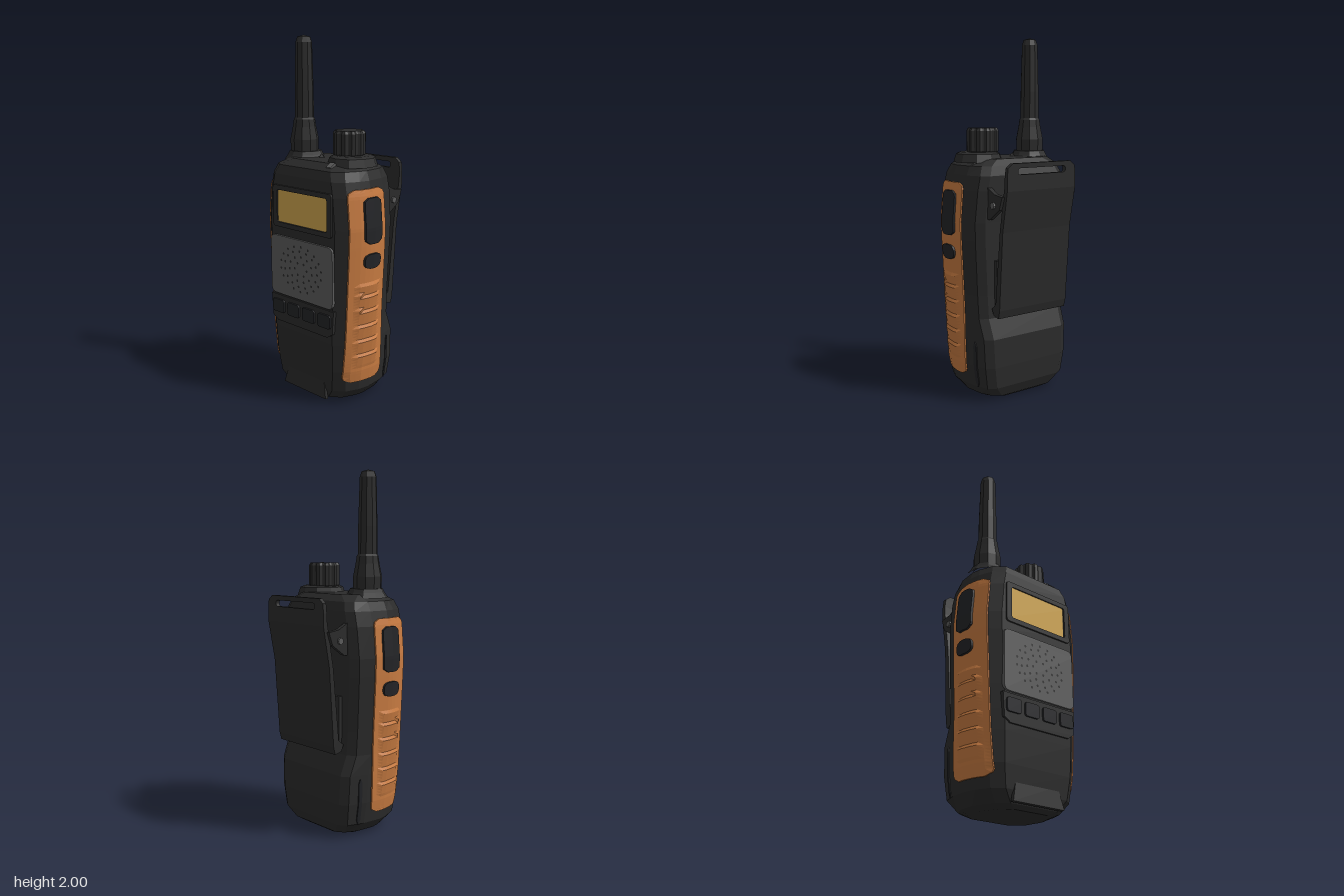
import * as THREE from 'three';

const mat = (name, color) => {
  const m = new THREE.MeshStandardMaterial({ color });
  m.name = name;
  return m;
};

// Body sections: height, half width, front z, back z
const SECTIONS = [
  [0, 0.21, 0.2, -0.12], [0.02, 0.255, 0.225, -0.15], [0.08, 0.305, 0.248, -0.178],
  [0.2, 0.322, 0.26, -0.185], [0.36, 0.328, 0.268, -0.18], [0.47, 0.331, 0.271, -0.137],
  [0.6, 0.336, 0.272, -0.133], [0.9, 0.35, 0.272, -0.135], [1.0, 0.352, 0.272, -0.137],
  [1.17, 0.337, 0.272, -0.142], [1.25, 0.32, 0.268, -0.142], [1.3, 0.3, 0.25, -0.125],
  [1.335, 0.24, 0.2, -0.09],
];

// Right half of one section, from front to back, as [x, z]
function halfOutline([, w, zf, zb]) {
  const m = zf * 0.55 + zb * 0.45;
  return [[w - 0.1, zf], [w - 0.04, zf - 0.045], [w - 0.01, zf - 0.12], [w, m],
    [w - 0.013, m - 0.11], [w - 0.045, zb + 0.03], [w - 0.09, zb]];
}

// Body half width at a given height and depth
function sideX(y, z) {
  let k = 0;
  while (k < SECTIONS.length - 2 && SECTIONS[k + 1][0] < y) k++;
  const a = SECTIONS[k], b = SECTIONS[k + 1];
  const t = (y - a[0]) / (b[0] - a[0]);
  const pts = halfOutline(a.map((v, i) => v + (b[i] - v) * t));
  let i = 0;
  while (i < pts.length - 2 && pts[i + 1][1] > z) i++;
  const [p, q] = [pts[i], pts[i + 1]];
  return p[0] + (q[0] - p[0]) * (p[1] - z) / (p[1] - q[1]);
}

// Faceted copy of a geometry
function flat(geo) {
  const g = geo.index ? geo.toNonIndexed() : geo;
  g.computeVertexNormals();
  return g;
}

// Skin over rows of points; closed rows get end caps
function skin(rows, closed, flip = false) {
  const n = rows[0].length, pos = rows.flat(2), idx = [];
  const tri = (a, b, c) => (flip ? idx.push(a, c, b) : idx.push(a, b, c));
  for (let j = 0; j < rows.length - 1; j++) {
    for (let i = 0; i < (closed ? n : n - 1); i++) {
      const a = j * n + i, b = j * n + (i + 1) % n;
      tri(a, b, b + n);
      tri(a, b + n, a + n);
    }
  }
  if (closed) {
    const last = (rows.length - 1) * n;
    for (let i = 1; i < n - 1; i++) {
      tri(0, i + 1, i);
      tri(last, last + i, last + i + 1);
    }
  }
  const g = new THREE.BufferGeometry();
  g.setAttribute('position', new THREE.Float32BufferAttribute(pos, 3));
  g.setIndex(idx);
  return flat(g);
}

// Raised rounded pad that follows the side of the body
function sidePad(s, y0, y1, z0, z1, r, off, rowsN, bump = () => 0) {
  const rows = [], cols = 8, mid = (z0 + z1) / 2;
  for (let j = -1; j <= rowsN + 1; j++) {
    const y = y0 + (y1 - y0) * THREE.MathUtils.clamp(j / rowsN, 0, 1);
    const d = Math.max(0, r - Math.min(y - y0, y1 - y));
    const hw = (z1 - z0) / 2 - r + Math.sqrt(Math.max(0, r * r - d * d));
    const row = [];
    for (let i = -1; i <= cols + 1; i++) {
      const u = THREE.MathUtils.clamp(i / cols, 0, 1);
      const z = mid + hw * (1 - 2 * u);
      const rim = i < 0 || i > cols || j < 0 || j > rowsN;
      row.push([s * (sideX(y, z) + (rim ? -0.015 : off + bump(y, u))), y, z]);
    }
    rows.push(row);
  }
  return skin(rows, false, s < 0);
}

function roundRect(w, h, r, Type = THREE.Shape) {
  const p = new Type(), x = w / 2, y = h / 2;
  p.moveTo(-x + r, -y).lineTo(x - r, -y).quadraticCurveTo(x, -y, x, -y + r);
  p.lineTo(x, y - r).quadraticCurveTo(x, y, x - r, y);
  p.lineTo(-x + r, y).quadraticCurveTo(-x, y, -x, y - r);
  p.lineTo(-x, -y + r).quadraticCurveTo(-x, -y, -x + r, -y);
  return p;
}
const polygon = (pts) => new THREE.Shape(pts.map((p) => new THREE.Vector2(...p)));
const extrude = (shape, depth) =>
  new THREE.ExtrudeGeometry(shape, { depth, bevelEnabled: false, curveSegments: 4 });
const lathe = (pts, n) => flat(new THREE.LatheGeometry(pts.map((p) => new THREE.Vector2(...p)), n));

export function createModel() {
  const root = new THREE.Group();
  root.name = 'handheldRadio';
  const black = mat('blackPlastic', 0x2b2b2b), dark = mat('darkRubber', 0x232427);
  const orange = mat('orangeGrip', 0xc97c42), gold = mat('amberScreen', 0xd0a64e);
  const grey = mat('greyGrille', 0x5c5c5c);
  const add = (name, geo, material, x = 0, y = 0, z = 0) => {
    const m = new THREE.Mesh(geo, material);
    m.name = name;
    m.position.set(x, y, z);
    root.add(m);
    return m;
  };

  // Body
  add('body', skin(SECTIONS.map((sec) => {
    const half = halfOutline(sec);
    const ring = [...half, ...half.slice().reverse().map(([x, z]) => [-x, z])];
    return ring.map(([x, z]) => [x, sec[0], z]);
  }), true), black);

  // Side grips with stepped ribs, and side keys
  const ribs = (y, u) => {
    if (y < 0.22 || y > 0.7 || u < 0.15 || u > 0.85) return 0;
    return 0.012 * (((y + u * 0.02 - 0.22) / 0.085) % 1);
  };
  for (const s of [1, -1]) {
    add('sideGrip', sidePad(s, 0.135, 1.21, -0.02, 0.228, 0.04, 0.008, 64, ribs), orange);
    add('talkKey', sidePad(s, 0.92, 1.165, 0.025, 0.148, 0.03, 0.02, 14), dark);
    add('smallSideKey', sidePad(s, 0.785, 0.865, 0.03, 0.15, 0.035, 0.02, 10), dark);
    add('batteryRail', sidePad(s, 0.08, 0.34, -0.1, -0.08, 0.008, 0.005, 10), dark);
  }

  // Display with its frame
  const frame = roundRect(0.46, 0.235, 0.02);
  frame.holes.push(roundRect(0.39, 0.182, 0.012, THREE.Path));
  add('screenFrame', extrude(frame, 0.022), black, 0.005, 1.073, 0.26);
  add('screen', extrude(roundRect(0.39, 0.182, 0.012), 0.008), gold, 0, 1.075, 0.267);

  // Speaker grille with rings of holes
  add('speakerGrille', extrude(roundRect(0.49, 0.34, 0.035), 0.03), grey, 0, 0.735, 0.254);
  [[0.04, 6], [0.075, 11], [0.108, 15], [0.135, 18]].forEach(([r, n], k) => {
    for (let i = 0; i < n; i++) {
      const a = (i / n) * Math.PI * 2 + k * 0.4;
      add('speakerHole', new THREE.CircleGeometry(0.008, 6), black,
        1.2 * r * Math.cos(a), 0.74 + 0.95 * r * Math.sin(a), 0.2845);
    }
  });

  // Keypad
  add('keypadTray', extrude(polygon([[-0.25, 0.555], [-0.24, 0.425], [-0.2, 0.4], [0.2, 0.4],
    [0.24, 0.425], [0.25, 0.555]]), 0.03), black, 0, 0, 0.25);
  for (let i = 0; i < 4; i++) {
    add('frontKey', extrude(roundRect(0.094, 0.075, 0.015), 0.03), dark, -0.183 + i * 0.122, 0.492, 0.261);
  }

  // Chin latch
  const chin = add('chinLatch', extrude(polygon([[-0.17, -0.06], [0.17, -0.06], [0.14, 0.06],
    [-0.14, 0.06]]), 0.02), black, 0, 0.08, 0.236);
  chin.rotation.x = -0.12;

  // Antenna
  add('antennaCollar', lathe([[0.12, 0], [0.1, 0.03], [0.09, 0.05], [0, 0.05]], 10), black, -0.185, 1.315, 0.065);
  add('antenna', lathe([[0.078, 1.34], [0.08, 1.43], [0.066, 1.5], [0.06, 1.54], [0.054, 1.55],
    [0.053, 1.7], [0.046, 1.96], [0.036, 1.99], [0, 2]], 10), black, -0.19, 0, 0.068);
  add('antennaMark', flat(new THREE.ConeGeometry(0.022, 0.02, 4)), black, -0.06, 1.345, 0.06);

  // Fluted volume knob on its raised seat
  add('knobSeat', lathe([[0.14, 0], [0.125, 0.045], [0.1, 0.055], [0, 0.055]], 10), black, 0.175, 1.315, 0.06);
  const knob = new THREE.Shape();
  for (let i = 0; i < 40; i++) {
    const a = (i / 40) * Math.PI * 2, r = i % 4 < 2 ? 0.08 : 0.07;
    knob[i ? 'lineTo' : 'moveTo'](r * Math.cos(a), r * Math.sin(a));
  }
  const knobGeo = new THREE.ExtrudeGeometry(knob, { depth: 0.11, bevelSize: 0.008, bevelThickness: 0.015, bevelSegments: 1 });
  knobGeo.rotateX(-Math.PI / 2);
  add('volumeKnob', knobGeo, black, 0.147, 1.375, 0.055);
  add('statusLight', new THREE.BoxGeometry(0.035, 0.02, 0.04), grey, 0.165, 1.322, 0.21).rotation.x = 0.6;

  // Belt clip: bent plate with a strap slot through its top
  const clip = (pts, width, x) => {
    const g = extrude(polygon(pts), width);
    g.rotateY(Math.PI / 2); // profile is drawn as [-z, y]
    return add('beltClip', g, black, x);
  };
  clip([[0.27, 1.25], [0.267, 1.2], [0.225, 0.96], [0.185, 0.56], [0.15, 0.53], [0.165, 0.495],
    [0.21, 0.485], [0.222, 0.53], [0.252, 0.96], [0.293, 1.18], [0.293, 1.25]], 0.46, -0.23);
  const head = polygon([[-0.23, 0], [0.23, 0], [0.225, 0.05], [0.195, 0.075], [-0.195, 0.075], [-0.225, 0.05]]);
  const slot = roundRect(0.32, 0.034, 0.016, THREE.Path).getPoints(4);
  head.holes.push(new THREE.Path(slot.map((p) => p.add(new THREE.Vector2(0, 0.032)))));
  add('beltClipHead', extrude(head, 0.023), black, 0, 1.25, -0.293);

  // Clip hinge ears, pins and back pad
  for (const s of [1, -1]) {
    const ear = clip([[0.12, 1.2], [0.12, 1.02], [0.16, 1.02], [0.245, 1.08], [0.27, 1.15], [0.2, 1.16]],
      0.025, s * 0.235 - 0.0125);
    ear.name = 'hingeEar';
    const pin = flat(new THREE.CylinderGeometry(0.018, 0.018, 0.025, 8));
    pin.rotateZ(Math.PI / 2);
    add('hingePin', pin, grey, s * 0.247, 1.1, -0.195);
  }
  add('backPad', new THREE.BoxGeometry(0.4, 0.27, 0.03), black, 0, 0.655, -0.14);
  return root;
}
